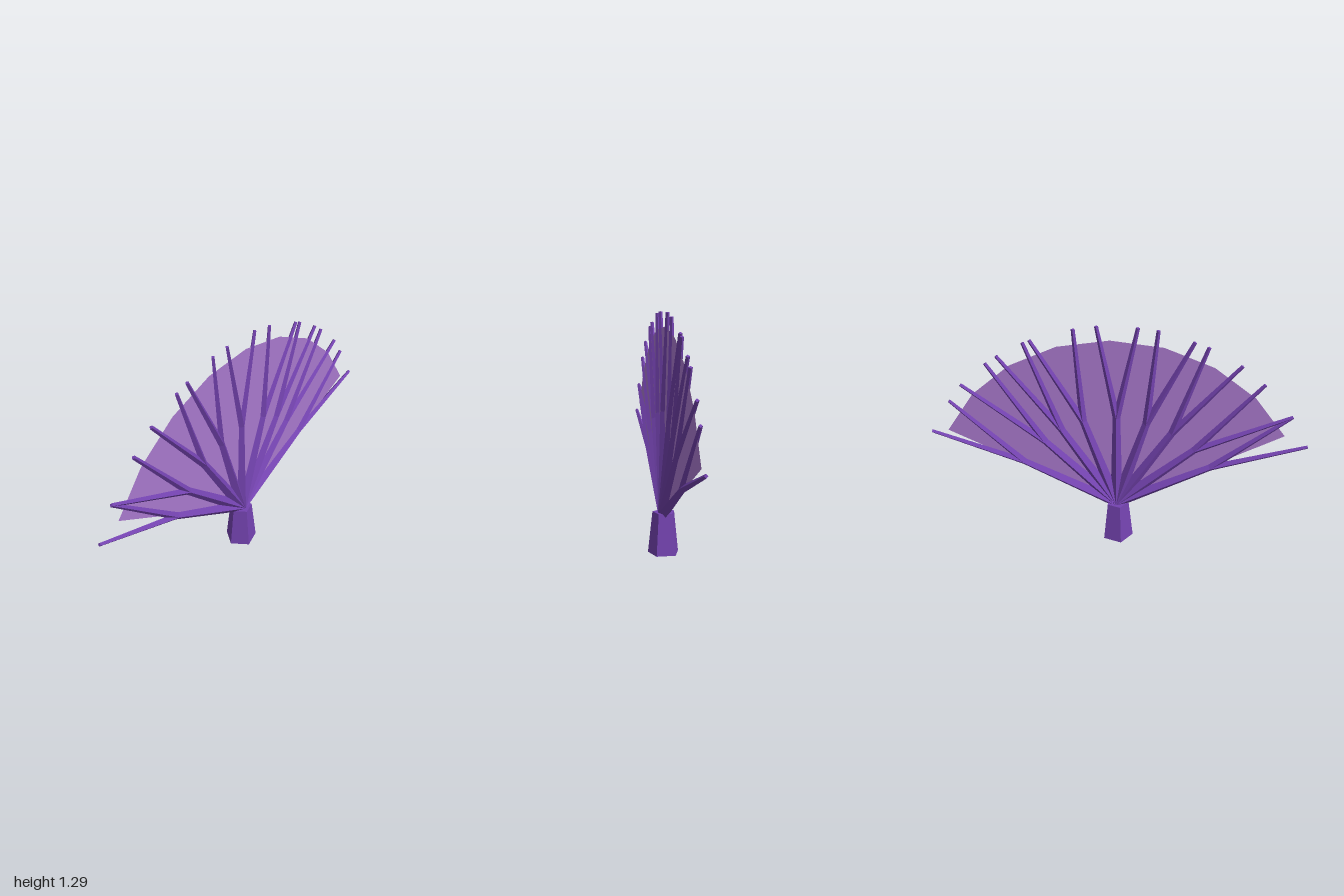
import * as THREE from 'three';

export function createModel() {
  const coral = new THREE.MeshStandardMaterial({ color: 0x7443b0, flatShading: true });
  coral.name = 'coral purple';
  const web = new THREE.MeshStandardMaterial({ color: 0xa878cc, side: THREE.DoubleSide });
  web.name = 'pale violet';

  const model = new THREE.Group();
  model.name = 'seaFan';
  const up = new THREE.Vector3(0, 1, 0);

  function add(parent, geometry, material, name) {
    const mesh = new THREE.Mesh(geometry, material);
    mesh.name = name;
    parent.add(mesh);
    return mesh;
  }

  // Tapered four-sided rod between two points of the fan plane
  function rod(parent, a, b, r0, r1, name) {
    const start = new THREE.Vector3(a[0], a[1], 0);
    const dir = new THREE.Vector3(b[0], b[1], 0).sub(start);
    const length = dir.length();
    const geometry = new THREE.CylinderGeometry(r1, r0, length, 4).translate(0, length / 2, 0);
    const mesh = add(parent, geometry, coral, name);
    mesh.position.copy(start);
    mesh.quaternion.setFromUnitVectors(up, dir.normalize());
  }

  // Five-sided trunk with one corner towards -x
  const trunk = add(model, new THREE.CylinderGeometry(0.062, 0.087, 0.226, 5), coral, 'trunk');
  trunk.rotation.y = -Math.PI / 2;
  trunk.position.set(-0.005, 0.113, 0);

  // Stems: fork point, then the two twig tips
  const root = [0, 0.22];
  const stems = [
    [[-0.5, 0.485], [-0.995, 0.645], [-0.9, 0.82]],
    [[-0.41, 0.59], [-0.9, 0.82], [-0.745, 1.0]],
    [[-0.29, 0.69], [-0.625, 1.1], [-0.455, 1.195]],
    [[-0.155, 0.74], [-0.385, 1.22], [-0.205, 1.275]],
    [[0, 0.77], [-0.105, 1.285], [0.1, 1.285]],
    [[0.175, 0.74], [0.215, 1.265], [0.435, 1.195]],
    [[0.29, 0.68], [0.47, 1.18], [0.61, 1.1]],
    [[0.38, 0.6], [0.67, 1.055], [0.81, 0.925]],
    [[0.5, 0.465], [0.88, 0.825], [0.992, 0.633]],
  ];
  stems.forEach(([fork, tipA, tipB], i) => {
    const branch = new THREE.Group();
    branch.name = `branch${i + 1}`;
    rod(branch, root, fork, 0.033, 0.02, 'stem');
    rod(branch, fork, tipA, 0.02, 0.01, 'twig');
    rod(branch, fork, tipB, 0.02, 0.01, 'twig');
    model.add(branch);
  });

  // Thin webbing between the branches
  const membrane = add(model, new THREE.CircleGeometry(1, 8, 0.447, 2.18), web, 'membrane');
  membrane.position.set(0, 0.212, 0);

  return model;
}
